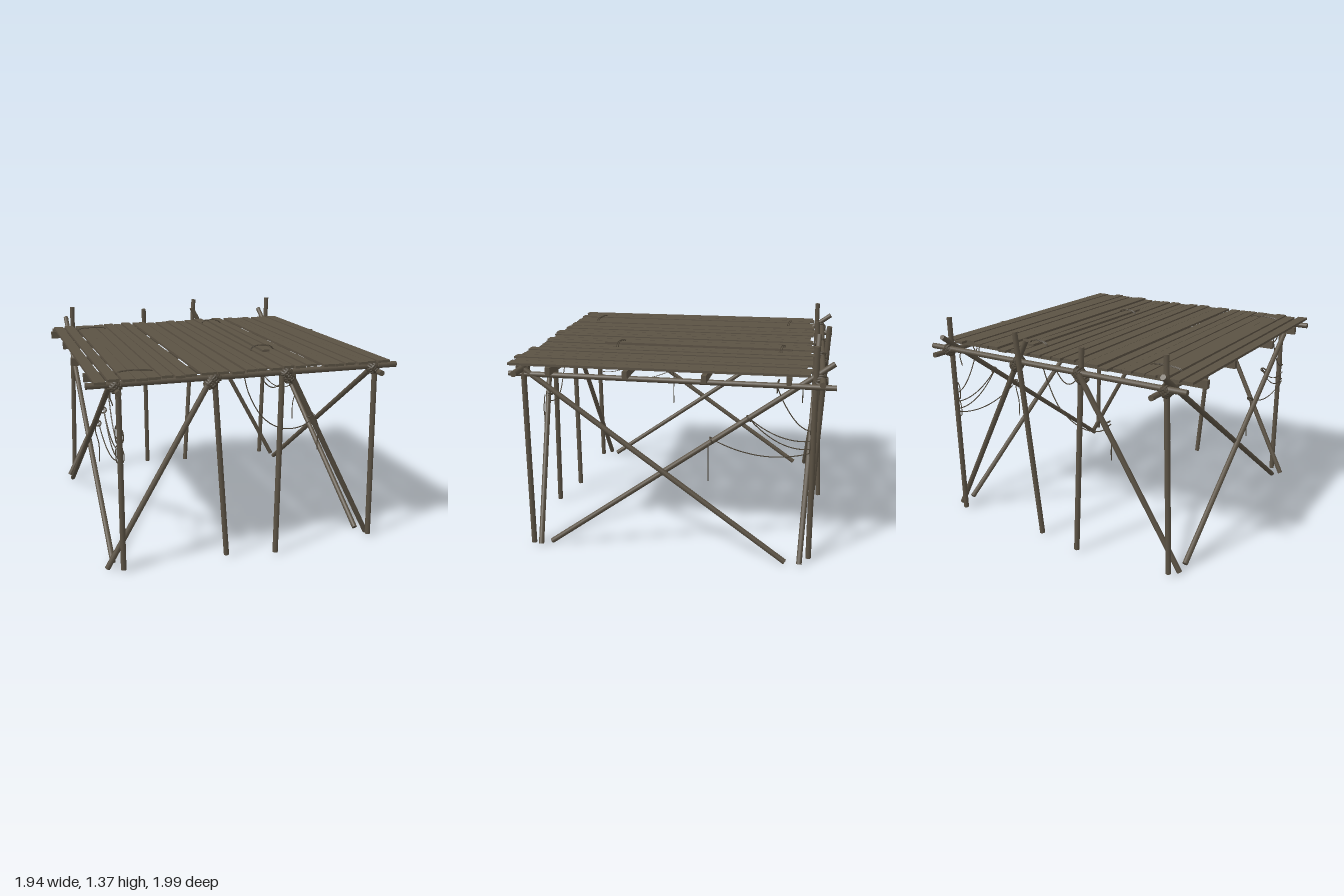
import * as THREE from 'three';

const wood = new THREE.MeshStandardMaterial({ color: 0x5b5244 });
wood.name = 'weathered wood';
const rope = new THREE.MeshStandardMaterial({ color: 0x4d4538 });
rope.name = 'rope';

const V = (p) => new THREE.Vector3(...p);
const UP = new THREE.Vector3(0, 1, 0);

function add(parent, name, geometry, material) {
  const mesh = new THREE.Mesh(geometry, material);
  mesh.name = name;
  parent.add(mesh);
  return mesh;
}

// Round pole between two points
function pole(parent, name, a, b, r = 0.017) {
  const from = V(a), to = V(b);
  const mesh = add(parent, name, new THREE.CylinderGeometry(r, r, from.distanceTo(to), 12), wood);
  mesh.position.copy(from).lerp(to, 0.5);
  mesh.quaternion.setFromUnitVectors(UP, to.sub(from).normalize());
  return mesh;
}

// Thin rope through a few points
function cord(parent, name, points, r = 0.0035, closed = false) {
  const curve = new THREE.CatmullRomCurve3(points.map(V), closed);
  return add(parent, name, new THREE.TubeGeometry(curve, 28, r, 5, closed), rope);
}

// Rope sagging between two points
function swag(parent, name, a, b, sag) {
  const points = [];
  for (let i = 0; i <= 8; i++) {
    const t = i / 8;
    const p = V(a).lerp(V(b), t);
    p.y -= 4 * sag * t * (1 - t);
    points.push(p.toArray());
  }
  return cord(parent, name, points);
}

// Crossed rope windings around a joint
function lashing(parent, x, y, z) {
  const joint = new THREE.Group();
  joint.name = 'lashing';
  joint.position.set(x, y, z);
  for (const tilt of [-1, 1]) {
    for (let i = -1; i <= 1; i++) {
      const ring = add(joint, 'ropeWinding', new THREE.TorusGeometry(0.034, 0.008, 6, 16), rope);
      ring.rotation.set(Math.PI / 2, tilt * 0.75, 0);
      ring.position.set(-tilt * i * 0.011, i * 0.011, 0);
    }
  }
  parent.add(joint);
}

function buildFrame(model) {
  const frame = new THREE.Group();
  frame.name = 'poleFrame';
  model.add(frame);

  // Front and back beams
  pole(frame, 'frontBeam', [-0.97, 1.178, 0.9], [0.97, 1.172, 0.89], 0.019);
  pole(frame, 'backBeam', [-0.94, 1.178, -0.92], [0.94, 1.175, -0.92], 0.018);

  // Squared joists between the side beams and the deck
  const joists = [[-0.95, 0.7, 0.91, 0.7], [-0.96, 0.255, 0.92, 0.225],
    [-0.94, -0.295, 0.94, -0.245], [-0.97, -0.73, 0.9, -0.73]];
  for (const [x0, z0, x1, z1] of joists) {
    const joist = add(frame, 'joist', new THREE.BoxGeometry(x1 - x0, 0.048, 0.03), wood);
    joist.position.set((x0 + x1) / 2, 1.179, (z0 + z1) / 2);
    joist.rotation.y = -Math.atan2(z1 - z0, x1 - x0);
  }

  // Side beams
  pole(frame, 'sideBeam', [0.855, 1.14, -1], [0.83, 1.14, 0.975]);
  pole(frame, 'sideBeam', [-0.76, 1.14, -1], [-0.8, 1.14, 0.975]);

  // Corner posts
  pole(frame, 'cornerPost', [0.865, 0.02, 0.87], [0.83, 1.195, 0.88]);
  pole(frame, 'cornerPost', [-0.785, 0.02, 0.87], [-0.785, 1.195, 0.88]);
  pole(frame, 'cornerPost', [0.79, 0.02, -0.89], [0.82, 1.37, -0.88]);
  pole(frame, 'cornerPost', [-0.83, 0.02, -0.89], [-0.785, 1.36, -0.88]);

  // Middle posts
  pole(frame, 'middlePost', [-0.13, 0.02, 0.87], [-0.225, 1.195, 0.9]);
  pole(frame, 'middlePost', [0.175, 0.02, 0.93], [0.2, 1.195, 0.9]);
  pole(frame, 'middlePost', [-0.205, 0.02, -0.95], [-0.225, 1.32, -0.88]);
  pole(frame, 'middlePost', [0.11, 0.02, -0.895], [0.21, 1.37, -0.955]);

  for (const s of [-1, 1]) {
    // Slanted braces of the front and back
    pole(frame, 'frontBrace', [s * 0.875, 0.015, 0.82], [s * 0.235, 1.195, 0.915]);
    pole(frame, 'backBrace', [s * 0.875, 0.015, -0.835],
      s > 0 ? [0.175, 1.31, -0.895] : [-0.25, 1.18, -0.95]);
    // Crossed braces of the sides
    pole(frame, 'sideBrace', [s * 0.83, 0.02, 0.76], [s > 0 ? 0.79 : -0.825, 1.265, -0.985]);
    pole(frame, 'sideBrace', [s * 0.865, 0.02, -0.745], [s * 0.83, 1.19, 0.905]);
    // Lashings on every joint
    for (const z of [0.895, -0.91]) {
      lashing(frame, s * 0.805, 1.165, z);
      lashing(frame, s * 0.225, 1.17, z);
      lashing(frame, s * 0.245, 1.145, z);
    }
  }
}

function buildDeck(model) {
  const deck = new THREE.Group();
  deck.name = 'deck';
  model.add(deck);
  // Planks: left edge, right edge, back end, front end
  const planks = [
    [-0.935, -0.87, -0.85, 0.99], [-0.855, -0.79, -0.86, 0.95], [-0.775, -0.705, -0.83, 0.98],
    [-0.7, -0.635, -0.85, 0.97], [-0.63, -0.56, -0.85, 0.97], [-0.55, -0.485, -0.86, 0.96],
    [-0.475, -0.42, -0.85, 0.97], [-0.41, -0.345, -0.89, 0.96], [-0.32, -0.23, -0.86, 0.96],
    [-0.22, -0.155, -0.84, 0.95], [-0.14, -0.065, -0.84, 0.98], [-0.05, 0.015, -0.86, 0.96],
    [0.03, 0.09, -0.85, 0.94], [0.105, 0.175, -0.86, 0.96], [0.19, 0.255, -0.88, 0.94],
    [0.27, 0.335, -0.85, 0.94], [0.347, 0.41, -0.89, 0.93], [0.44, 0.51, -0.86, 0.97],
    [0.52, 0.575, -0.86, 0.96], [0.585, 0.65, -0.86, 0.96], [0.665, 0.725, -0.83, 0.98],
    [0.735, 0.795, -0.87, 0.95], [0.805, 0.885, -0.85, 0.96],
  ];
  planks.forEach(([x0, x1, z0, z1], i) => {
    const plank = add(deck, 'plank', new THREE.BoxGeometry(x1 - x0, 0.015, z1 - z0), wood);
    plank.position.set((x0 + x1) / 2, 1.209 + 0.002 * (i % 3), (z0 + z1) / 2);
    plank.rotation.y = 0.002 * Math.sin(i * 2.4);
  });
  // Loose plank lying on top
  const patch = add(deck, 'loosePlank', new THREE.BoxGeometry(0.05, 0.014, 1.25), wood);
  patch.position.set(0.265, 1.228, -0.105);
  patch.rotation.y = -0.024;

  // Rope ties around groups of planks
  const ties = [[-0.78, -0.56, -0.68, 1.224], [-0.78, -0.56, 0.8, 1.224],
    [0.19, 0.34, -0.67, 1.238], [0.19, 0.34, 0.405, 1.238]];
  for (const [x0, x1, z, top] of ties) {
    for (const dz of [-0.006, 0.006]) {
      cord(deck, 'plankTie', [[x0, 1.213, z + dz], [x0 + 0.02, top, z + dz], [x1 - 0.02, top, z + dz + 0.012],
        [x1, 1.213, z + dz + 0.012], [x1 - 0.02, 1.199, z + dz], [x0 + 0.02, 1.199, z + dz]], 0.003, true);
    }
  }
}

// Ropes of one half; the other half is the same turned halfway round
function buildRopes() {
  const ropes = new THREE.Group();
  ropes.name = 'hangingRopes';
  // Front swags from the beam to the slanted brace
  cord(ropes, 'frontSwag', [[-0.05, 1.19, 0.91], [-0.01, 1.06, 0.9], [0.07, 0.92, 0.9], [0.17, 0.84, 0.89],
    [0.27, 0.815, 0.89], [0.37, 0.835, 0.89], [0.43, 0.89, 0.885]]);
  swag(ropes, 'smallSwag', [0.06, 1.16, 0.91], [0.22, 1.15, 0.91], 0.065);
  cord(ropes, 'ropeEnd', [[0.42, 0.89, 0.91], [0.45, 0.8, 0.91], [0.445, 0.74, 0.91], [0.445, 0.67, 0.91]]);
  // Swags from the back corner post to the side brace
  const px = 0.805;
  swag(ropes, 'sideSwag', [px, 0.8, -0.9], [px, 0.93, -0.49], 0.055);
  swag(ropes, 'sideSwag', [px, 0.75, -0.9], [px, 0.93, -0.49], 0.07);
  swag(ropes, 'sideSwag', [px, 0.73, -0.9], [px, 0.78, -0.27], 0.07);
  swag(ropes, 'sideSwag', [px, 0.86, -0.9], [px, 1.12, -0.66], 0.08);
  cord(ropes, 'ropeEnd', [[px, 0.78, -0.27], [px + 0.02, 0.73, -0.26], [px, 0.62, -0.257], [px, 0.5, -0.257]]);
  cord(ropes, 'ropeEnd', [[px, 1.14, -0.81], [px + 0.015, 1.09, -0.81], [px, 1.03, -0.81]]);
  // Slim loops hanging on the post and beam
  for (const y of [0.87, 0.75]) {
    cord(ropes, 'ropeLoop', [[0.8, y + 0.06, -0.87], [0.77, y + 0.03, -0.885], [0.77, y - 0.04, -0.885],
      [0.8, y - 0.05, -0.87]], 0.0035, true);
  }
  cord(ropes, 'ropeLoop', [[px, 1.165, -0.67], [px + 0.03, 1.14, -0.67], [px, 1.08, -0.66], [px - 0.02, 1.13, -0.66]],
    0.0035, true);
  // Windings where ropes meet the braces
  for (const [x, y, z, turn] of [[0.4, 0.89, 0.885, 0.5], [0.81, 0.92, -0.5, 0], [0.81, 0.77, -0.28, 0]]) {
    const ring = add(ropes, 'braceWinding', new THREE.TorusGeometry(0.019, 0.005, 6, 14), rope);
    ring.position.set(x, y, z);
    ring.rotation.set(turn ? Math.PI / 2 : 0.62, turn, 0);
  }
  return ropes;
}

export function createModel() {
  const model = new THREE.Group();
  model.name = 'plankPlatform';
  buildFrame(model);
  buildDeck(model);
  for (const turn of [0, Math.PI]) {
    const ropes = buildRopes();
    ropes.rotation.y = turn;
    model.add(ropes);
  }
  return model;
}
